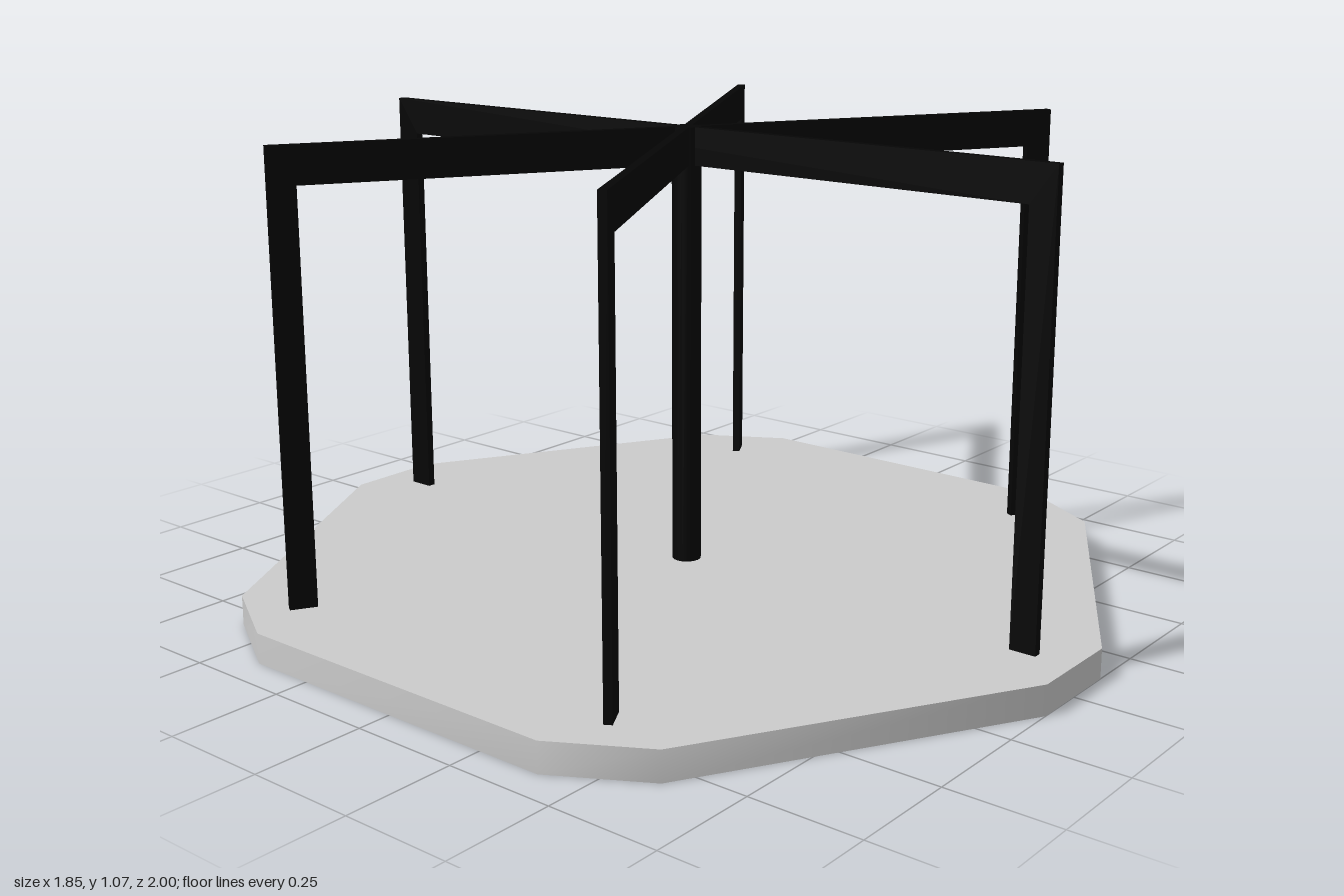
import * as THREE from 'three';
import { toCreasedNormals } from 'three/addons/utils/BufferGeometryUtils.js';

const DECK_H = 0.067, TOP = 1.067, BAR_BOTTOM = 0.983;
const REACH = 0.915, LEG = 0.06, THICK = 0.018;

// Corner i of the twelve-sided deck: six long sides joined by six short ones
function deckCorner(i) {
  const half = Math.atan2(0.115, 1);
  const a = Math.floor(i / 2) * Math.PI / 3 + (i % 2 ? half : -half);
  return new THREE.Vector2(Math.sin(a), Math.cos(a)).multiplyScalar(Math.hypot(0.115, 1));
}

function deckTopGeometry() {
  const corners = Array.from({ length: 12 }, (_, i) => deckCorner(i));
  return new THREE.ShapeGeometry(new THREE.Shape(corners)).rotateX(-Math.PI / 2);
}

// Rim wall, open underneath: a twelve-sided tube moved onto the deck corners
function deckRimGeometry() {
  const geo = new THREE.CylinderGeometry(1, 1, DECK_H, 12, 1, true);
  const pos = geo.attributes.position;
  for (let i = 0; i < pos.count; i++) {
    const c = deckCorner(i % 13 % 12);
    pos.setX(i, c.x).setZ(i, c.y);
  }
  return toCreasedNormals(geo, 0.8);
}

// Flat arch: two legs and the bar that spans the deck
function archGeometry() {
  const r = REACH, i = REACH - LEG;
  const shape = new THREE.Shape([
    [-r, DECK_H], [-i, DECK_H], [-i, BAR_BOTTOM], [i, BAR_BOTTOM],
    [i, DECK_H], [r, DECK_H], [r, TOP], [-r, TOP],
  ].map(([x, y]) => new THREE.Vector2(x, y)));
  const geo = new THREE.ExtrudeGeometry(shape, { depth: THICK, bevelEnabled: false });
  return geo.translate(0, 0, -THICK / 2);
}

export function createModel() {
  const group = new THREE.Group();
  const grey = new THREE.MeshStandardMaterial({ color: 0xcccccc, side: THREE.DoubleSide });
  const black = new THREE.MeshStandardMaterial({ color: 0x050505 });
  const add = (name, geo, mat, y = 0) => {
    const mesh = new THREE.Mesh(geo, mat);
    mesh.name = name;
    mesh.position.y = y;
    group.add(mesh);
    return mesh;
  };

  // Hollow deck
  add('deckTop', deckTopGeometry(), grey, DECK_H);
  add('deckRim', deckRimGeometry(), grey, DECK_H / 2);

  // Centre post stands on the deck
  add('centrePost', new THREE.CylinderGeometry(0.033, 0.033, TOP - DECK_H, 16), black, (TOP + DECK_H) / 2);

  // Three arches crossing at the post
  const arch = archGeometry();
  for (let k = 0; k < 3; k++) {
    add('handrailArch' + (k + 1), arch, black).rotation.y = Math.PI / 6 + k * Math.PI / 3;
  }
  return group;
}
